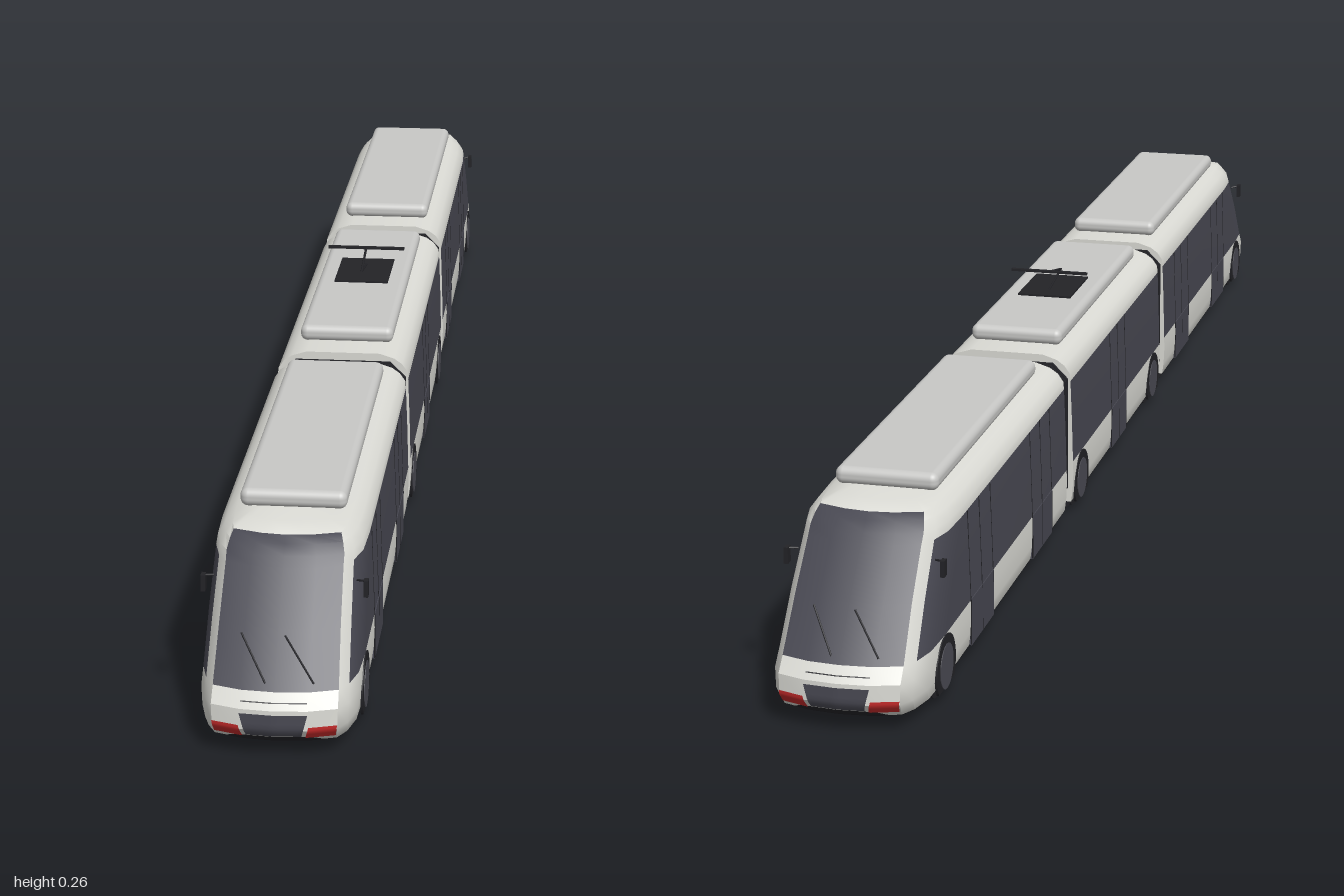
import * as THREE from 'three';
import { toCreasedNormals } from 'three/addons/utils/BufferGeometryUtils.js';
import { RoundedBoxGeometry } from 'three/addons/geometries/RoundedBoxGeometry.js';

const mat = (name, color) => Object.assign(new THREE.MeshStandardMaterial({ color }), { name });
const white = mat('body white', 0xdcdcd6);
const glass = mat('dark glass', 0x484852);
const dark = mat('underframe black', 0x232327);
const grey = mat('roof unit grey', 0xc8c8c6);
const red = mat('lamp red', 0xc42a2a);
const hubGrey = mat('hub grey', 0x4c4c54);

// body levels: height, half width, nose z, windscreen edge as a share of the half width
const LEVELS = [
  [0.012, 0.081, 0.972, 0.78], [0.019, 0.085, 0.988, 0.78], [0.035, 0.087, 1.0, 0.78],
  [0.058, 0.088, 0.999, 0.78], [0.074, 0.0875, 0.985, 0.78], [0.13, 0.086, 0.944, 0.77],
  [0.182, 0.084, 0.899, 0.77], [0.192, 0.083, 0.89, 0.78], [0.202, 0.076, 0.88, 0.82],
  [0.209, 0.066, 0.87, 0.9], [0.215, 0.047, 0.845, 0.9],
];
const BACK = 0.305, MID = 0.27;

function mesh(parent, name, geometry, material, x = 0, y = 0, z = 0) {
  const m = new THREE.Mesh(geometry, material);
  m.name = name;
  m.position.set(x, y, z);
  parent.add(m);
  return m;
}
const box = (p, name, m, w, h, d, x, y, z) => mesh(p, name, new THREE.BoxGeometry(w, h, d), m, x, y, z);

// round bar between two points
function rod(parent, name, a, b, r, material) {
  const path = new THREE.LineCurve3(new THREE.Vector3(...a), new THREE.Vector3(...b));
  return mesh(parent, name, new THREE.TubeGeometry(path, 1, r, 6), material);
}

// half outline of the cab in plan, from the rear corner to the nose centre
function cabHalf([y, w, zf, e]) {
  return [[w, y, BACK], [w, y, zf - 0.11], [w * 0.975, y, zf - 0.06], [w * (e + (1 - e) * 0.5), y, zf - 0.03],
    [w * e, y, zf - 0.013], [w * 0.42, y, zf - 0.003], [0, y, zf]];
}
function cabOutline(level) {
  const half = cabHalf(level);
  return [...half, ...half.slice(0, 6).reverse().map(([x, y, z]) => [-x, y, z])];
}
const midOutline = ([y, w]) => [[w, y, -MID], [w, y, MID], [-w, y, MID], [-w, y, -MID]];

// z of the cab surface at a point of the front
function noseZ(x, y) {
  let j = 0;
  while (j < LEVELS.length - 2 && LEVELS[j + 1][0] < y) j++;
  const a = LEVELS[j], b = LEVELS[j + 1], t = (y - a[0]) / (b[0] - a[0]);
  const half = cabHalf(a.map((v, k) => v + (b[k] - v) * t));
  let i = 6;
  while (i > 2 && half[i - 1][0] < Math.abs(x)) i--;
  const p = half[i], q = half[i - 1];
  return p[2] + (q[2] - p[2]) * (Math.abs(x) - p[0]) / (q[0] - p[0]);
}

// skin stacked outlines, choosing a material for each face strip
function loft(parent, name, outline, pick) {
  const mats = [white, glass, dark], lists = mats.map(() => []);
  const rings = LEVELS.map(outline), n = rings[0].length;
  const tri = (m, ...pts) => lists[mats.indexOf(m)].push(...pts.flat());
  for (let j = 0; j < rings.length - 1; j++) for (let i = 0; i < n; i++) {
    const k = (i + 1) % n, a = rings[j][i], b = rings[j][k], c = rings[j + 1][k], d = rings[j + 1][i];
    const m = j === 0 ? dark : pick(i, j);
    tri(m, a, d, c);
    tri(m, a, c, b);
  }
  const bottom = rings[0], top = rings[rings.length - 1];
  const zc = (bottom[0][2] + bottom[Math.floor(n / 2)][2]) / 2;
  for (let i = 0; i < n; i++) {
    const k = (i + 1) % n;
    tri(white, [0, top[0][1], zc], top[k], top[i]);
    tri(dark, [0, bottom[0][1], zc], bottom[i], bottom[k]);
  }
  const g = new THREE.BufferGeometry();
  g.setAttribute('position', new THREE.Float32BufferAttribute(lists.flat(), 3));
  let start = 0;
  lists.forEach((l, k) => { g.addGroup(start, l.length / 3, k); start += l.length / 3; });
  g.computeVertexNormals();
  return mesh(parent, name, toCreasedNormals(g, 0.6), mats);
}

// thin plate following the nose; x0 and x1 are [bottom, top] limits
function nosePlate(parent, name, material, x0, x1, y0, y1, lift) {
  const g = new THREE.PlaneGeometry(1, 1, 12, 5), p = g.attributes.position;
  for (let i = 0; i < p.count; i++) {
    const u = p.getX(i) + 0.5, v = p.getY(i) + 0.5;
    const l = x0[0] + (x0[1] - x0[0]) * v, r = x1[0] + (x1[1] - x1[0]) * v;
    const x = l + (r - l) * u, y = y0 + (y1 - y0) * v;
    p.setXYZ(i, x, y, noseZ(x, y) + lift);
  }
  g.computeVertexNormals();
  mesh(parent, name, g, material);
}

// pair of wheels with arch and hub discs
function axle(parent, z) {
  const arch = new THREE.Shape();
  arch.absarc(0, 0, 0.038, -0.62, Math.PI + 0.62, false);
  const archGeo = new THREE.ExtrudeGeometry(arch, { depth: 0.003, bevelEnabled: false, curveSegments: 28 });
  for (const s of [-1, 1]) {
    mesh(parent, 'wheel', new THREE.CylinderGeometry(0.036, 0.036, 0.016, 28), dark, s * 0.07, 0.036, z).rotation.z = Math.PI / 2;
    mesh(parent, 'wheelArch', archGeo, dark, s * 0.0855, 0.036, z).rotation.y = s * Math.PI / 2;
    mesh(parent, 'wheelHub', new THREE.CylinderGeometry(0.026, 0.026, 0.004, 24), hubGrey, s * 0.0873, 0.037, z).rotation.z = Math.PI / 2;
  }
}

// door on both sides: lower glass panel and seams
function door(parent, z, width) {
  for (const s of [-1, 1]) {
    box(parent, 'doorPanel', glass, 0.004, 0.056, width, s * 0.0864, 0.047, z);
    for (const k of [-0.5, 0, 0.5]) {
      rod(parent, 'doorSeam', [s * 0.0878, 0.02, z + k * width], [s * 0.0878, 0.074, z + k * width], 0.0008, dark);
      rod(parent, 'doorSeam', [s * 0.0874, 0.074, z + k * width], [s * 0.084, 0.182, z + k * width], 0.0008, dark);
    }
  }
}

function roofUnit(parent, z, length) {
  mesh(parent, 'roofUnit', new RoundedBoxGeometry(0.12, 0.021, length, 4, 0.009), grey, 0, 0.2235, z);
}

function endCar() {
  const car = new THREE.Group();
  loft(car, 'endCarBody', cabOutline, (i, j) => {
    if (i >= 4 && i <= 7) return j >= 4 && j <= 8 ? glass : white;
    if (i === 3 || i === 8 || i === 12) return white;
    return j === 4 || j === 5 ? glass : white;
  });
  roofUnit(car, 0.578, 0.455);
  door(car, 0.72, 0.098);
  door(car, 0.435, 0.098);
  axle(car, 0.875);
  // nose fittings
  nosePlate(car, 'nosePanel', glass, [-0.03, -0.037], [0.03, 0.037], 0.027, 0.054, 0.002);
  nosePlate(car, 'bumperLip', dark, [-0.07, -0.04], [0.07, 0.04], 0.0125, 0.026, 0.0015);
  nosePlate(car, 'noseSeam', dark, [-0.036, -0.036], [0.036, 0.036], 0.0645, 0.0655, 0.001);
  nosePlate(car, 'leftLamp', red, [0.034, 0.038], [0.066, 0.068], 0.025, 0.04, 0.002);
  nosePlate(car, 'rightLamp', red, [-0.066, -0.068], [-0.034, -0.038], 0.025, 0.04, 0.002);
  // wipers
  const on = (x, y) => [x, y, noseZ(x, y) + 0.003];
  rod(car, 'wiper', on(-0.01, 0.082), on(-0.04, 0.125), 0.0011, dark);
  rod(car, 'wiper', on(0.042, 0.082), on(0.008, 0.125), 0.0011, dark);
  // mirrors
  for (const s of [-1, 1]) {
    rod(car, 'mirrorArm', [s * 0.079, 0.163, 0.88], [s * 0.09, 0.165, 0.887], 0.0013, dark);
    box(car, 'mirror', dark, 0.005, 0.019, 0.01, s * 0.0895, 0.157, 0.887);
  }
  return car;
}

function middleCar() {
  const car = new THREE.Group();
  car.name = 'middleCar';
  loft(car, 'middleCarBody', midOutline, (i, j) => (i % 2 === 0 && (j === 4 || j === 5) ? glass : white));
  roofUnit(car, 0, 0.45);
  door(car, 0, 0.09);
  axle(car, 0.223);
  axle(car, -0.223);
  return car;
}

// folded connection between two cars
function bellows(z0, z1) {
  const group = new THREE.Group(), ribs = 7, d = (z1 - z0) / ribs;
  group.name = 'bellows';
  for (let i = 0; i < ribs; i++) {
    const w = i % 2 ? 0.077 : 0.081, top = i % 2 ? 0.2 : 0.205;
    const s = new THREE.Shape([[-w, 0.038], [w, 0.038], [w, 0.185], [w - 0.02, top], [0.02 - w, top], [-w, 0.185]]
      .map(([x, y]) => new THREE.Vector2(x, y)));
    mesh(group, 'bellowsFold', new THREE.ExtrudeGeometry(s, { depth: d, bevelEnabled: false }), dark, 0, 0, z0 + i * d);
  }
  return group;
}

function pantograph() {
  const g = new THREE.Group();
  g.name = 'pantograph';
  box(g, 'pantographBase', dark, 0.072, 0.003, 0.104, 0, 0.235, -0.02);
  rod(g, 'lowerArm', [0, 0.236, -0.045], [0, 0.247, 0.025], 0.0016, dark);
  rod(g, 'upperArm', [0, 0.247, 0.025], [0, 0.261, -0.042], 0.0016, dark);
  box(g, 'contactBar', dark, 0.104, 0.003, 0.006, 0, 0.261, -0.042);
  return g;
}

export function createModel() {
  const tram = new THREE.Group();
  tram.name = 'tram';
  const front = endCar(), rear = endCar();
  front.name = 'frontCar';
  rear.name = 'rearCar';
  rear.rotation.y = Math.PI;
  tram.add(front, rear, middleCar(), bellows(MID, BACK), bellows(-BACK, -MID), pantograph());
  return tram;
}
